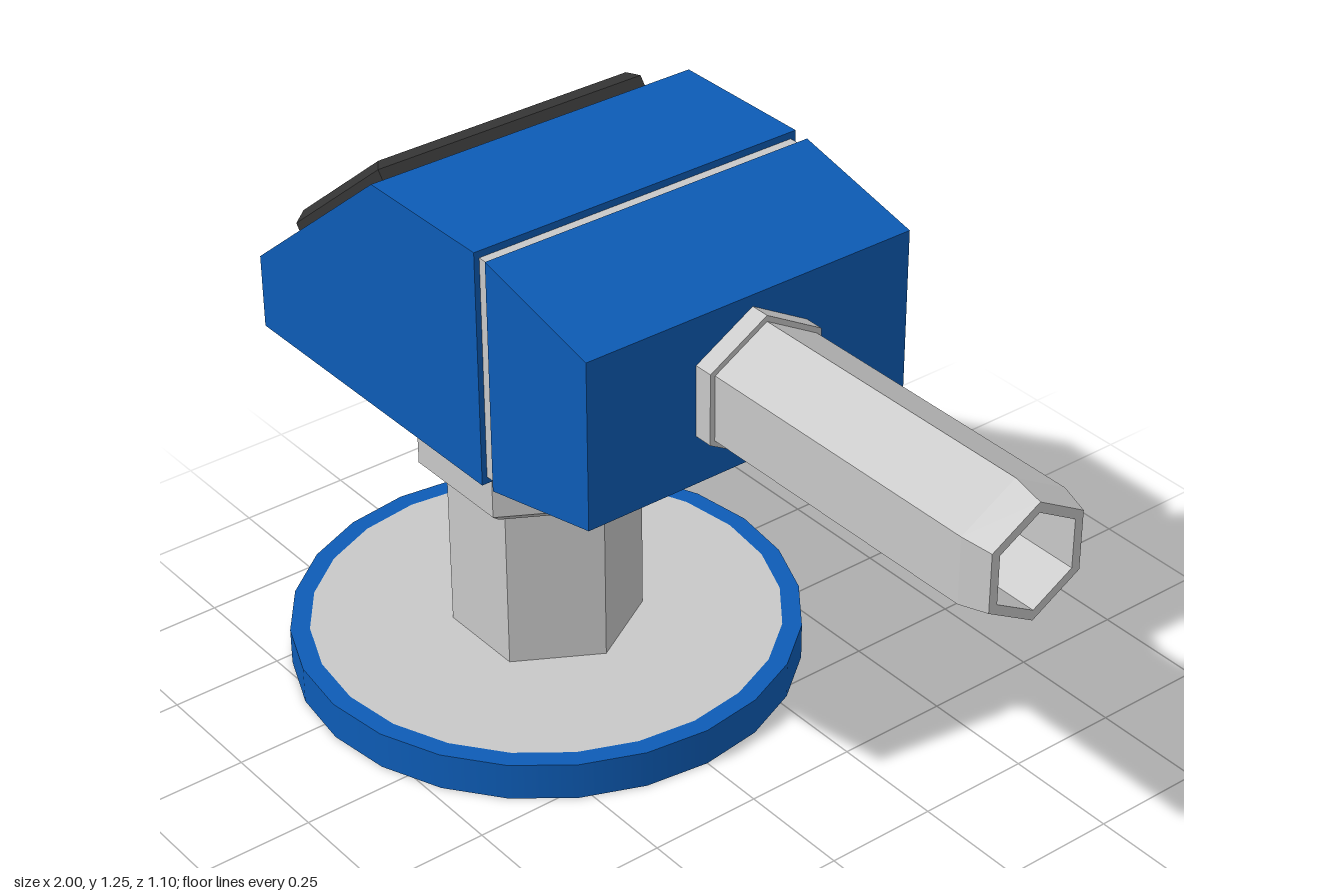
import * as THREE from 'three';
import { toCreasedNormals } from 'three/addons/utils/BufferGeometryUtils.js';

const material = (name, color, side = THREE.FrontSide) => {
  const m = new THREE.MeshStandardMaterial({ color, side });
  m.name = name;
  return m;
};

// Side profile in x/y, extruded symmetrically along z
function slab(points, depth) {
  const shape = new THREE.Shape(points.map(([x, y]) => new THREE.Vector2(x, y)));
  return new THREE.ExtrudeGeometry(shape, { depth, bevelEnabled: false }).translate(0, 0, -depth / 2);
}

// Six-sided turned part with corners on the x axis and crisp facets
function hexTurned(profile) {
  const points = profile.map(([r, y]) => new THREE.Vector2(r, y));
  return toCreasedNormals(new THREE.LatheGeometry(points, 6, Math.PI / 6), 0.1);
}

export function createModel() {
  const model = new THREE.Group();
  model.name = 'sensorOnStand';
  const blue = material('blue', 0x0d5cb6, THREE.DoubleSide);
  const grey = material('lightGrey', 0xc8c8c8, THREE.DoubleSide);
  const dark = material('charcoal', 0x353535);

  const add = (name, geometry, mat, x = 0, y = 0) => {
    const mesh = new THREE.Mesh(geometry, mat);
    mesh.name = name;
    mesh.position.set(x, y, 0);
    model.add(mesh);
    return mesh;
  };

  // Round foot: open-bottomed rim with a thin flush disc
  const axisX = -0.45, footTop = 0.085;
  add('footWall', new THREE.CylinderGeometry(0.55, 0.55, footTop, 24, 1, true), blue, axisX, footTop / 2);
  add('footRim', new THREE.RingGeometry(0.508, 0.55, 24).rotateX(-Math.PI / 2), blue, axisX, footTop);
  add('footDisc', new THREE.CircleGeometry(0.508, 24).rotateX(-Math.PI / 2), grey, axisX, footTop);

  // Hexagonal post and the chamfered nut above it
  add('post', hexTurned([[0.205, footTop], [0.205, 0.48]]), grey, axisX + 0.005);
  add('nut', hexTurned([[0, 0.465], [0.235, 0.465], [0.262, 0.487], [0.262, 0.74]]), grey, axisX + 0.005);

  // Housing, seal and tapered cap
  add('housing', slab([[-0.88, 0.735], [-0.115, 0.735], [-0.115, 1.25], [-0.45, 1.25], [-0.88, 0.9]], 0.776), blue);
  add('seal', slab([[-0.115, 0.75], [-0.08, 0.75], [-0.08, 1.235], [-0.115, 1.235]], 0.752), grey);
  add('cap', slab([[-0.08, 0.74], [0.225, 0.81], [0.225, 1.175], [-0.08, 1.246]], 0.776), blue);

  // Collar and hollow hexagonal tube pointing along +x
  const collar = add('collar', hexTurned([[0.155, 0.22], [0.155, 0.267], [0.13, 0.267]]), grey, 0, 0.995);
  const tube = add('tube', hexTurned([
    [0.142, 0.26], [0.142, 0.937], [0.125, 1], [0.103, 1], [0.103, 0.7], [0, 0.7],
  ]), grey, 0, 0.995);
  collar.rotation.z = tube.rotation.z = -Math.PI / 2;

  // Bevelled dark panel lying on the sloped face
  const w = 0.203, d = 0.322, bevel = 0.018;
  const outline = new THREE.Shape([[-w, -d], [w, -d], [w, d], [-w, d]].map(
    ([x, y]) => new THREE.Vector2(x - Math.sign(x) * bevel, y - Math.sign(y) * bevel)));
  const panelGeometry = new THREE.ExtrudeGeometry(outline, {
    depth: 0.03, bevelSize: bevel, bevelThickness: bevel, bevelSegments: 1,
  }).rotateX(-Math.PI / 2);
  const panel = add('panel', panelGeometry, dark, -0.6625, 1.077);
  panel.rotation.z = Math.atan2(0.35, 0.43);

  return model;
}
